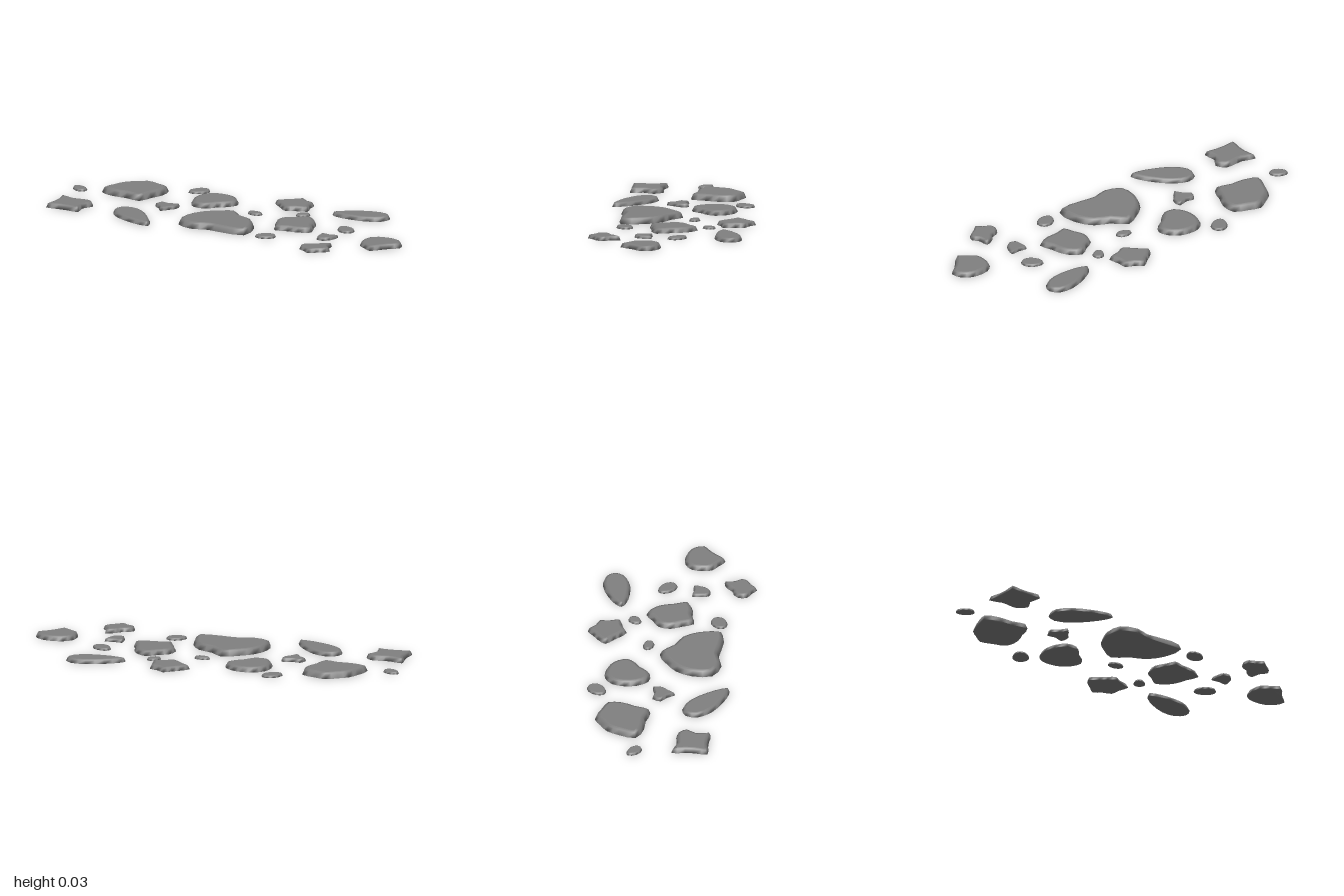
import * as THREE from 'three';

const rad = THREE.MathUtils.degToRad;

// Outline from a centre and radii at equal angles, clockwise seen from above
function radial(cx, cz, radii, turn = 0) {
  return radii.map((r, i) => {
    const a = rad(turn + (360 * i) / radii.length);
    return new THREE.Vector3(cx + r * Math.cos(a), 0, cz + r * Math.sin(a));
  });
}

// Egg outline: half length, half width, tilt in degrees and taper
function egg(cx, cz, length, width, tilt, taper) {
  const axis = new THREE.Vector3(0, 1, 0);
  return Array.from({ length: 10 }, (_, i) => {
    const a = rad(36 * i);
    const z = width * Math.sin(a) * (1 + taper * Math.cos(a));
    return new THREE.Vector3(length * Math.cos(a), 0, z)
      .applyAxisAngle(axis, -rad(tilt))
      .add(new THREE.Vector3(cx, 0, cz));
  });
}

// Softly curved closed ring through the outline points
function smoothRing(points) {
  const curve = new THREE.CatmullRomCurve3(points, true, 'centripetal');
  const n = points.length * 2;
  return Array.from({ length: n }, (_, i) => {
    const v = curve.getPoint(i / n);
    return new THREE.Vector2(v.x, v.z);
  });
}

// Move every ring point inwards along its normal
function inset(ring, d) {
  const n = ring.length;
  return ring.map((v, i) => {
    const t = ring[(i + 1) % n].clone().sub(ring[(i + n - 1) % n]).normalize();
    return new THREE.Vector2(v.x - t.y * d, v.y + t.x * d);
  });
}

// Triangulated cap facing up or down
function cap(ring, offset, up, index) {
  for (const [a, b, c] of THREE.ShapeUtils.triangulateShape(ring.slice(), [])) {
    const e = ring[b].clone().sub(ring[a]);
    const f = ring[c].clone().sub(ring[a]);
    const facesUp = e.y * f.x - e.x * f.y > 0;
    if (facesUp === up) index.push(a + offset, b + offset, c + offset);
    else index.push(a + offset, c + offset, b + offset);
  }
}

// Flat stone: steep wall, gentle bevel, flat top and closed underside
function stoneGeometry(points, h, bevel) {
  const base = smoothRing(points);
  const n = base.length;
  const top = inset(base, bevel);
  const rings = [[base, 0], [inset(base, bevel * 0.46), h * 0.85], [top, h], [top, h]];
  const position = [];
  const index = [];
  for (const [ring, y] of rings) for (const v of ring) position.push(v.x, y, v.y);
  for (let r = 0; r < 2; r++) {
    for (let i = 0; i < n; i++) {
      const a = r * n + i;
      const b = r * n + ((i + 1) % n);
      index.push(a, a + n, b, b, a + n, b + n);
    }
  }
  cap(base, 0, false, index);
  cap(top, 3 * n, true, index);
  const g = new THREE.BufferGeometry();
  g.setAttribute('position', new THREE.Float32BufferAttribute(position, 3));
  g.setIndex(index);
  g.computeVertexNormals();
  return g;
}

export function createModel() {
  const model = new THREE.Group();
  model.name = 'steppingStones';
  const grey = new THREE.MeshStandardMaterial({ color: 0x808080 });
  grey.name = 'stoneGrey';

  const add = (name, h, bevel, points) => {
    const mesh = new THREE.Mesh(stoneGeometry(points, h, bevel), grey);
    mesh.name = name;
    model.add(mesh);
  };

  // Large slabs
  add('backLeftSlab', 0.032, 0.026, radial(-0.67, -0.18,
    [.144, .134, .17, .13, .148, .183, .136, .121, .111, .131, .13, .159]));
  add('centreSlab', 0.032, 0.026, radial(-0.03, 0.15,
    [.205, .245, .148, .12, .163, .205, .188, .172, .163, .183, .14, .171]));
  add('backCentreSlab', 0.025, 0.026, radial(-0.22, -0.19,
    [.118, .097, .088, .123, .139, .129, .122, .123, .117, .107, .108, .113]));
  add('rearSlab', 0.023, 0.022, radial(0.165, -0.32,
    [.09, .12, .09, .1, .082, .082, .113, .087, .08, .1, .08, .1]));
  add('middleSlab', 0.025, 0.026, radial(0.345, 0,
    [.097, .138, .115, .103, .134, .112, .122, .125, .111, .134, .114, .098]));
  add('endSlab', 0.024, 0.022, radial(0.885, 0.11,
    [.115, .081, .082, .115, .097, .104, .1, .104, .098, .093, .1, .112]));
  add('frontSlab', 0.021, 0.016, radial(0.625, 0.325,
    [.083, .075, .065, .085, .069, .083, .08, .06, .045, .064, .099, .067]));
  add('frontCornerSlab', 0.024, 0.022, radial(-0.86, 0.2,
    [.086, .13, .093, .093, .13, .09, .09, .133, .077, .08, .11, .119], 15));

  // Teardrop slabs
  add('rearTeardropSlab', 0.022, 0.02, egg(0.56, -0.3, 0.153, 0.066, -12, 0.35));
  add('frontTeardropSlab', 0.021, 0.02, egg(-0.465, 0.25, 0.165, 0.07, 217, 0.4));

  // Notched small stones
  add('notchedStoneRight', 0.016, 0.011, radial(0.585, 0.13,
    [.037, .036, .045, .053, .047, .066, .041, .064]));
  add('notchedStoneLeft', 0.018, 0.011, radial(-0.405, 0.01,
    [.055, .042, .068, .04, .064, .064, .037, .072]));

  // Pebbles: centre x, centre z, half length, half width, tilt
  const pebbles = [
    [-.39, -.325, .057, .043, -45],
    [.283, -.187, .038, .03, -45],
    [.052, -.098, .043, .028, 10],
    [.603, -.048, .058, .041, 40],
    [.293, .245, .054, .041, -25],
    [-.955, -.085, .049, .033, 35],
  ];
  pebbles.forEach((p, i) => add(`pebble${i + 1}`, 0.012, 0.011, egg(...p, 0.1)));
  return model;
}
